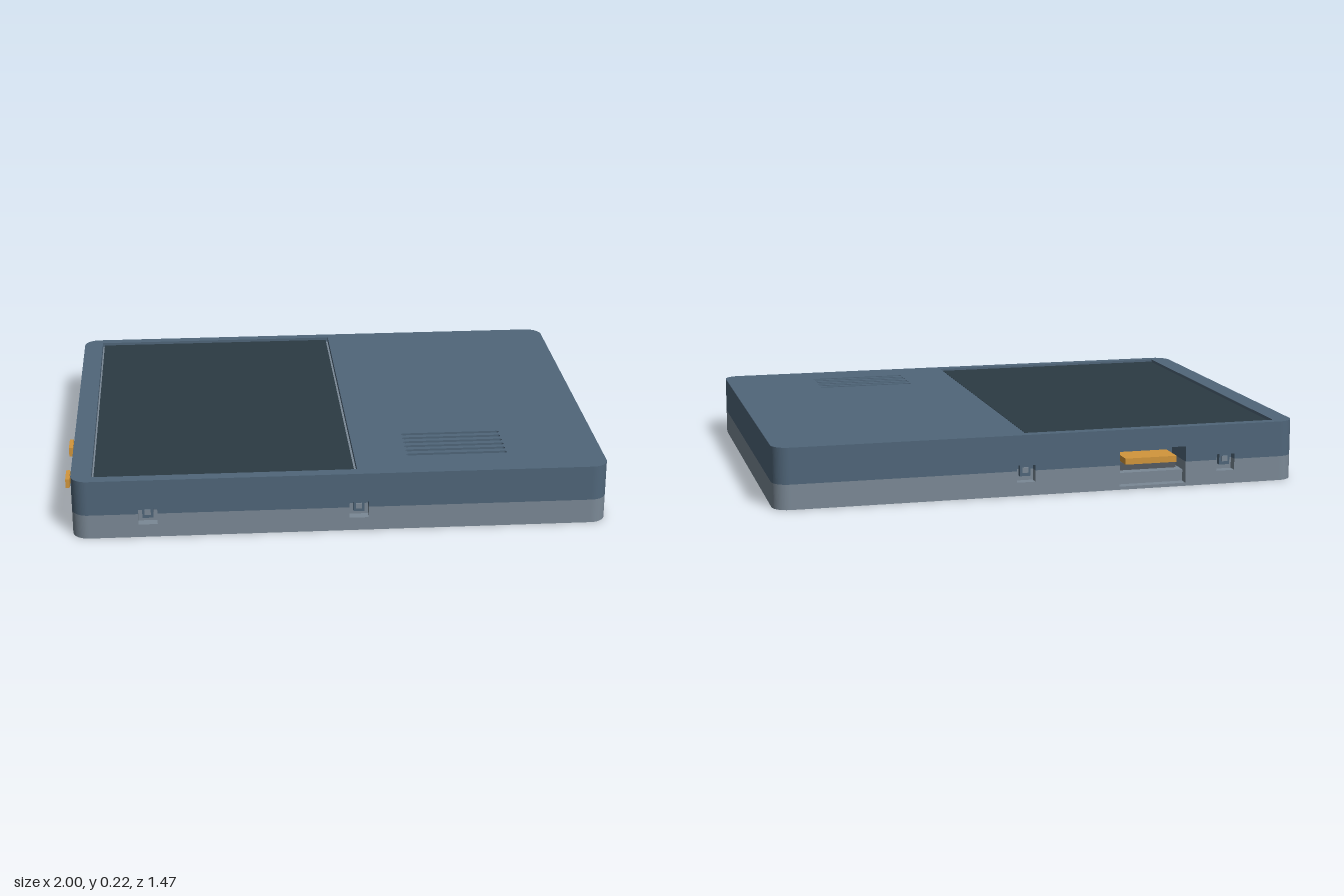
import * as THREE from 'three';

const X0 = -0.965, X1 = 1.0, Z = 0.735, R = 0.06;
const mat = (color) => new THREE.MeshStandardMaterial({ color });

export function createModel() {
  const model = new THREE.Group();
  const blue = mat(0x50667a), grey = mat(0x7b8996), glass = mat(0x2b3a43),
    orange = mat(0xd2963c), dark = mat(0x555b62), pale = mat(0xb4bcc2);

  const add = (name, geometry, material) => {
    const mesh = new THREE.Mesh(geometry, material);
    mesh.name = name;
    model.add(mesh);
    return mesh;
  };
  // box given by its limits
  const box = (name, material, x0, x1, y0, y1, z0, z1) =>
    add(name, new THREE.BoxGeometry(x1 - x0, y1 - y0, z1 - z0), material)
      .position.set((x0 + x1) / 2, (y0 + y1) / 2, (z0 + z1) / 2);

  // rounded plan outline with rectangular bites [centre, half width, depth]; shape y = -z
  const outline = ({ front = [], back = [], side = [] } = {}) => {
    const s = new THREE.Shape();
    s.moveTo(X0 + R, -Z);
    for (const [c, w, d] of front) {
      s.lineTo(c - w, -Z); s.lineTo(c - w, -Z + d);
      s.lineTo(c + w, -Z + d); s.lineTo(c + w, -Z);
    }
    s.lineTo(X1 - R, -Z);
    s.absarc(X1 - R, -Z + R, R, -Math.PI / 2, 0);
    s.lineTo(X1, Z - R);
    s.absarc(X1 - R, Z - R, R, 0, Math.PI / 2);
    for (const [c, w, d] of back) {
      s.lineTo(c + w, Z); s.lineTo(c + w, Z - d);
      s.lineTo(c - w, Z - d); s.lineTo(c - w, Z);
    }
    s.lineTo(X0 + R, Z);
    s.absarc(X0 + R, Z - R, R, Math.PI / 2, Math.PI);
    for (const [z, w, d] of side) {
      s.lineTo(X0, -z + w); s.lineTo(X0 + d, -z + w);
      s.lineTo(X0 + d, -z - w); s.lineTo(X0, -z - w);
    }
    s.lineTo(X0, -Z + R);
    s.absarc(X0 + R, -Z + R, R, Math.PI, Math.PI * 1.5);
    return s;
  };
  const rectHole = (x0, x1, z0, z1) => new THREE.Path([[x0, -z0], [x1, -z0], [x1, -z1], [x0, -z1]]
    .map(([x, y]) => new THREE.Vector2(x, y)));
  const layer = (name, material, shape, y0, y1) => {
    const g = new THREE.ExtrudeGeometry(shape, { depth: y1 - y0, bevelEnabled: false, curveSegments: 10 });
    g.rotateX(-Math.PI / 2).translate(0, y0, 0);
    return add(name, g, material);
  };

  // bottom plate with screw holes
  const screws = [[0.91, -0.53], [0.91, 0.53]];
  const floor = outline();
  for (const [x, z] of screws) {
    floor.holes.push(new THREE.Path().absarc(x, -z, 0.045, 0, Math.PI * 2, true));
    add('screw', new THREE.CylinderGeometry(0.045, 0.045, 0.03, 24), dark).position.set(x, 0.021, z);
    add('screwHead', new THREE.CylinderGeometry(0.028, 0.028, 0.004, 6), grey).position.set(x, 0.005, z);
  }
  layer('bottomPlate', grey, floor, 0, 0.012);

  // hollow walls, stacked so that notches appear at the right heights
  const clipX = [-0.69, 0.08], clipW = 0.035;
  const port = [-0.405, 0.128, 0.15];
  const clips = clipX.map((x) => [x, clipW, 0.035]);
  const slot = [-0.06, 0.12, 0.035], reset = [0.27, 0.016, 0.03];
  const backClips = [clips[1], port, clips[0]];
  const walls = [
    ['lowerWall', grey, 0.012, 0.05, { back: [port] }],
    ['lowerWall', grey, 0.05, 0.082, { front: clips, back: backClips }],
    ['lowerWall', grey, 0.082, 0.092, { front: clips, back: backClips, side: [slot, reset] }],
    ['upperWall', blue, 0.092, 0.104, { front: clips, back: backClips, side: [slot, reset] }],
    ['upperWall', blue, 0.104, 0.113, { front: clips, back: backClips }],
    ['upperWall', blue, 0.113, 0.15, { back: [port] }],
    ['upperWall', blue, 0.15, 0.205, {}],
  ];
  for (const [name, material, y0, y1, bites] of walls) {
    const s = outline(bites);
    s.holes.push(rectHole(-0.91, 0.95, -0.56, 0.685));
    layer(name, material, s, y0, y1);
  }

  // lid with screen window and speaker slots
  const lid = outline();
  lid.holes.push(rectHole(-0.89, 0.075, -0.698, 0.692));
  for (let i = 0; i < 6; i++) {
    const y = -(0.385 + i * 0.038), r = 0.009, p = new THREE.Path();
    p.absarc(0.279, y, r, Math.PI / 2, Math.PI * 1.5);
    p.absarc(0.636, y, r, -Math.PI / 2, Math.PI / 2);
    p.closePath();
    lid.holes.push(p);
  }
  layer('lid', blue, lid, 0.205, 0.225);
  box('speaker', dark, 0.24, 0.68, 0.14, 0.18, 0.35, 0.61);

  // display
  box('screenFrame', grey, -0.889, 0.074, 0.16, 0.207, -0.697, 0.691);
  box('screen', glass, -0.882, 0.065, 0.2, 0.218, -0.688, 0.682);

  // snap tabs in the front and back notches
  for (const x of clipX) for (const s of [-1, 1]) {
    const zs = [s * 0.698, s * 0.722].sort((a, b) => a - b);
    box('snapTab', blue, x - 0.02, x + 0.02, 0.07, 0.113, ...zs);
    box('snapHook', grey, x - 0.011, x + 0.011, 0.083, 0.103, s * 0.722 - 0.005, s * 0.722 + 0.005);
  }

  // connector opening at the back
  box('portLedge', grey, -0.533, -0.277, 0.012, 0.055, -0.7, -0.58);
  box('portBoard', orange, -0.51, -0.31, 0.085, 0.108, -0.7, -0.58);
  box('portHousing', dark, -0.52, -0.29, 0.055, 0.085, -0.66, -0.58);

  // controls and card slot on the side
  for (const z of [0.12, 0.415]) {
    box('buttonStem', orange, -0.99, -0.95, 0.083, 0.107, z - 0.014, z + 0.014);
    box('buttonCap', orange, -1.0, -0.985, 0.077, 0.113, z - 0.042, z + 0.042);
  }
  box('resetButton', orange, -0.967, -0.935, 0.085, 0.102, 0.257, 0.283);
  box('card', pale, -0.961, -0.925, 0.086, 0.1, -0.175, 0.055);

  return model;
}
